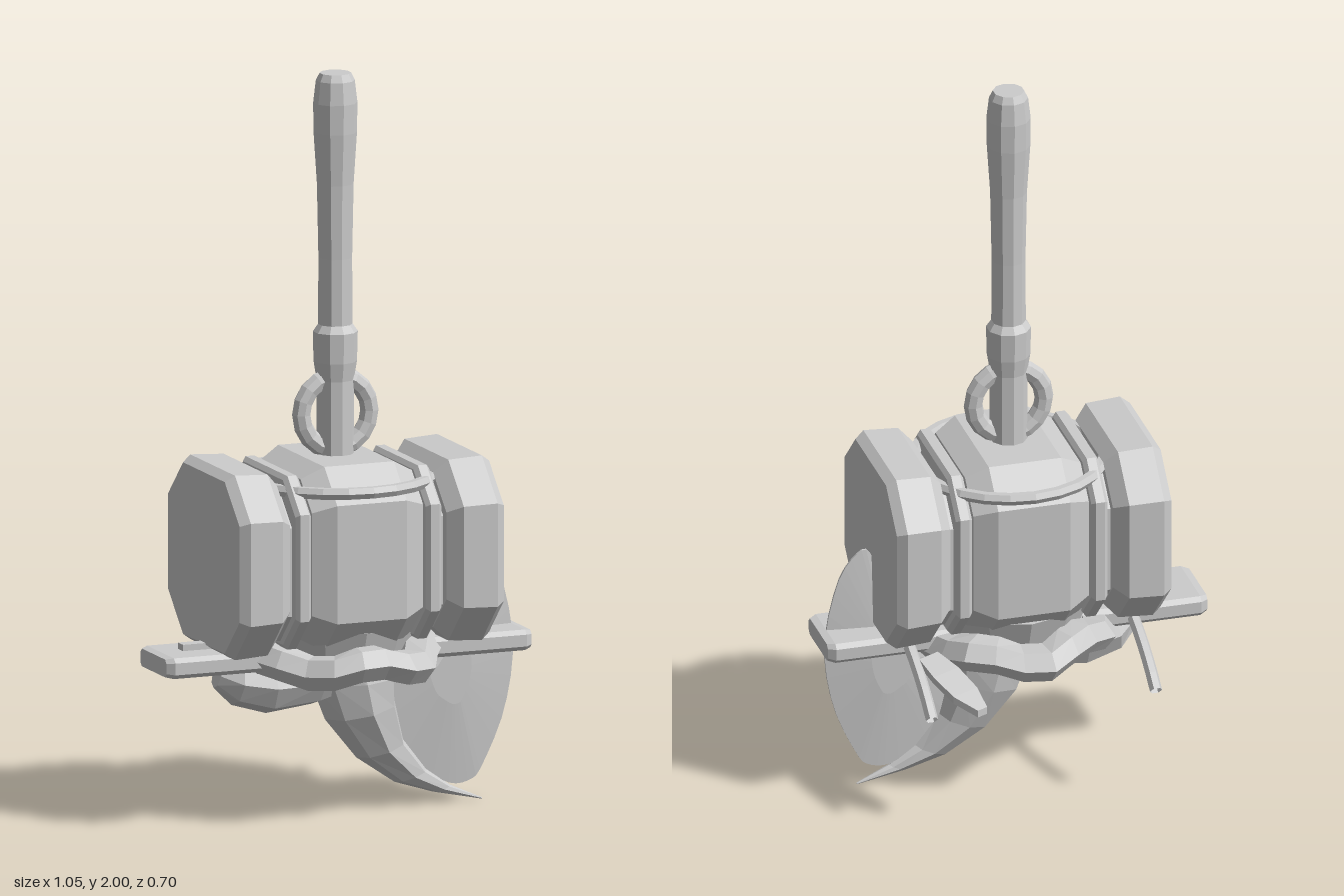
import * as THREE from 'three';

const CZ = 0.045; // depth of the shaft axis
const V = (x, y, z) => new THREE.Vector3(x, y, z);

// Skin a list of equal-length rings and cap both ends
function loft(rings) {
  const n = rings[0].length, pos = [], idx = [];
  rings.forEach(r => r.forEach(p => pos.push(p.x, p.y, p.z)));
  for (let i = 0; i < rings.length - 1; i++)
    for (let j = 0; j < n; j++) {
      const a = i * n + j, b = i * n + (j + 1) % n;
      idx.push(a, b, b + n, a, b + n, a + n);
    }
  const last = (rings.length - 1) * n;
  for (let j = 1; j < n - 1; j++) idx.push(0, j + 1, j, last, last + j, last + j + 1);
  const g = new THREE.BufferGeometry();
  g.setAttribute('position', new THREE.Float32BufferAttribute(pos, 3));
  g.setIndex(idx);
  g.computeVertexNormals();
  return g;
}

// Bevelled octagonal slab running along x; stations are [x, scale]
function slab(stations, cy, hy, hz, cut, cz = CZ + 0.005) {
  const oct = [[hy, -hz + cut], [hy, hz - cut], [hy - cut, hz], [-hy + cut, hz],
    [-hy, hz - cut], [-hy, -hz + cut], [-hy + cut, -hz], [hy - cut, -hz]];
  return loft(stations.map(([x, s]) => oct.map(([y, z]) => V(x, cy + y * s, cz + z * s))));
}

// Tapered horn in the xy plane; rows are [x1, y1, x2, y2, half depth]
function horn(rows, sides = 8) {
  return loft(rows.map(([x1, y1, x2, y2, d]) => Array.from({ length: sides }, (_, j) => {
    const a = j / sides * Math.PI * 2, t = (1 - Math.cos(a)) / 2;
    return V(x1 + (x2 - x1) * t, y1 + (y2 - y1) * t, CZ + Math.sin(a) * d);
  })));
}

export function createModel() {
  const model = new THREE.Group();
  const mat = new THREE.MeshStandardMaterial({ color: 0xcccccc, flatShading: true, side: THREE.DoubleSide });
  const add = (name, geo, x = 0, y = 0, z = 0) => {
    const m = new THREE.Mesh(geo, mat);
    m.name = name;
    m.position.set(x, y, z);
    model.add(m);
    return m;
  };

  // Shaft with swollen grip and collar
  const shaft = [[0, 0.9], [0.05, 0.9], [0.05, 1.17], [0.058, 1.22], [0.06, 1.3], [0.046, 1.32],
    [0.045, 1.5], [0.049, 1.7], [0.058, 1.84], [0.059, 1.92], [0.052, 1.98], [0.042, 2], [0, 2]];
  add('shaft', new THREE.LatheGeometry(shaft.map(([r, y]) => new THREE.Vector2(r, y)), 10), 0, 0, CZ);
  add('shaftRing', new THREE.TorusGeometry(0.098, 0.026, 8, 18), 0, 1.08, CZ);

  // Head: middle drum, inner core, strap bands and end blocks
  add('headDrum', slab([[-0.16, 0.87], [-0.1, 1], [0.1, 1], [0.16, 0.87]], 0.72, 0.25, 0.25, 0.09));
  add('headCore', slab([[-0.25, 1], [0.25, 1]], 0.7, 0.2, 0.2, 0.08));
  for (const s of [-1, 1]) {
    const along = list => list.map(([x, k]) => [x * s, k]).sort((a, b) => a[0] - b[0]);
    add('headBand', slab(along([[0.165, 0.95], [0.175, 1], [0.2, 1], [0.21, 0.95]]), 0.715, 0.235, 0.235, 0.09));
    add('headBlock', slab(along([[0.225, 0.84], [0.26, 0.98], [0.355, 1], [0.38, 0.93]]), 0.715, 0.25, 0.265, 0.11));
  }

  // Hoop around the head
  add('headHoop', new THREE.TorusGeometry(0.252, 0.017, 6, 24).rotateX(Math.PI / 2), 0, 0.91, CZ + 0.005);

  // Crossguard with clipped ends
  add('crossguard', slab([[-0.525, 0.86], [-0.505, 1], [0.505, 1], [0.525, 0.86]], 0.442, 0.028, 0.105, 0.012));
  add('guardStud', new THREE.BoxGeometry(0.12, 0.03, 0.035), -0.385, 0.472, CZ);

  // Ragged wrap below the head
  const wrap = new THREE.TorusGeometry(0.235, 0.06, 6, 22).rotateX(Math.PI / 2);
  const p = wrap.attributes.position;
  for (let i = 0; i < p.count; i++) {
    const a = Math.atan2(p.getZ(i), p.getX(i));
    const k = 1 + 0.04 * Math.sin(a * 7 + 1);
    p.setXYZ(i, p.getX(i) * k * 0.96, p.getY(i) * 0.8 + 0.016 * Math.sin(a * 5) , p.getZ(i) * k * 1.03);
  }
  add('wrap', wrap, 0, 0.43, CZ);
  add('wrapPad', new THREE.CylinderGeometry(0.22, 0.17, 0.14, 12), 0, 0.45, CZ);

  // Curved horn sweeping down to a point
  add('horn', horn([[-0.1, 0.42, 0.17, 0.44, 0.09], [-0.07, 0.35, 0.17, 0.36, 0.105],
    [-0.03, 0.25, 0.17, 0.29, 0.1], [0.06, 0.14, 0.195, 0.18, 0.07],
    [0.17, 0.065, 0.26, 0.095, 0.04], [0.28, 0.03, 0.33, 0.045, 0.02], [0.42, 0, 0.421, 0.004, 0.003]]));

  // Blunt stump on the other side
  add('stump', horn([[-0.35, 0.36, -0.33, 0.43, 0.03], [-0.3, 0.31, -0.28, 0.44, 0.075],
    [-0.2, 0.28, -0.2, 0.44, 0.09], [-0.07, 0.295, -0.05, 0.43, 0.085], [0.02, 0.32, 0.04, 0.42, 0.06]]));

  // Thin fin: outline fanned from a thicker spine point on each face
  const edge = new THREE.SplineCurve([[0.1, 0.36], [0.28, 0.46], [0.35, 0.57], [0.385, 0.685], [0.425, 0.68],
    [0.475, 0.6], [0.51, 0.42], [0.485, 0.24], [0.42, 0.09], [0.385, 0.055], [0.33, 0.05],
    [0.26, 0.09], [0.17, 0.17], [0.1, 0.36]].map(q => new THREE.Vector2(...q))).getPoints(40).slice(0, -1);
  const finRing = (k, z) => edge.map(q => V(0.33 + (q.x - 0.33) * k, 0.36 + (q.y - 0.36) * k, CZ + z)).reverse();
  add('fin', loft([finRing(0.3, 0.02), finRing(1, 0.003), finRing(1, -0.003), finRing(0.3, -0.02)]));

  // Trailing pegs at the back
  for (const s of [-1, 1]) {
    const path = new THREE.QuadraticBezierCurve3(V(0.31 * s, 0.45, -0.08), V(0.31 * s, 0.41, -0.2), V(0.31 * s, 0.335, -0.29));
    add('peg', new THREE.TubeGeometry(path, 5, 0.017, 6));
  }

  // Loose strip of the wrap
  const strip = [[0.27, 0.44, -0.12, 0.03], [0.245, 0.425, -0.2, 0.04], [0.215, 0.4, -0.28, 0.038], [0.185, 0.375, -0.34, 0.015]];
  add('looseStrip', loft(strip.map(([x, y, z, w]) => [V(x - w, y, z + w * 0.5), V(x + w, y, z - w * 0.5),
    V(x + w, y - 0.02, z - w * 0.5), V(x - w, y - 0.02, z + w * 0.5)])));

  return model;
}
